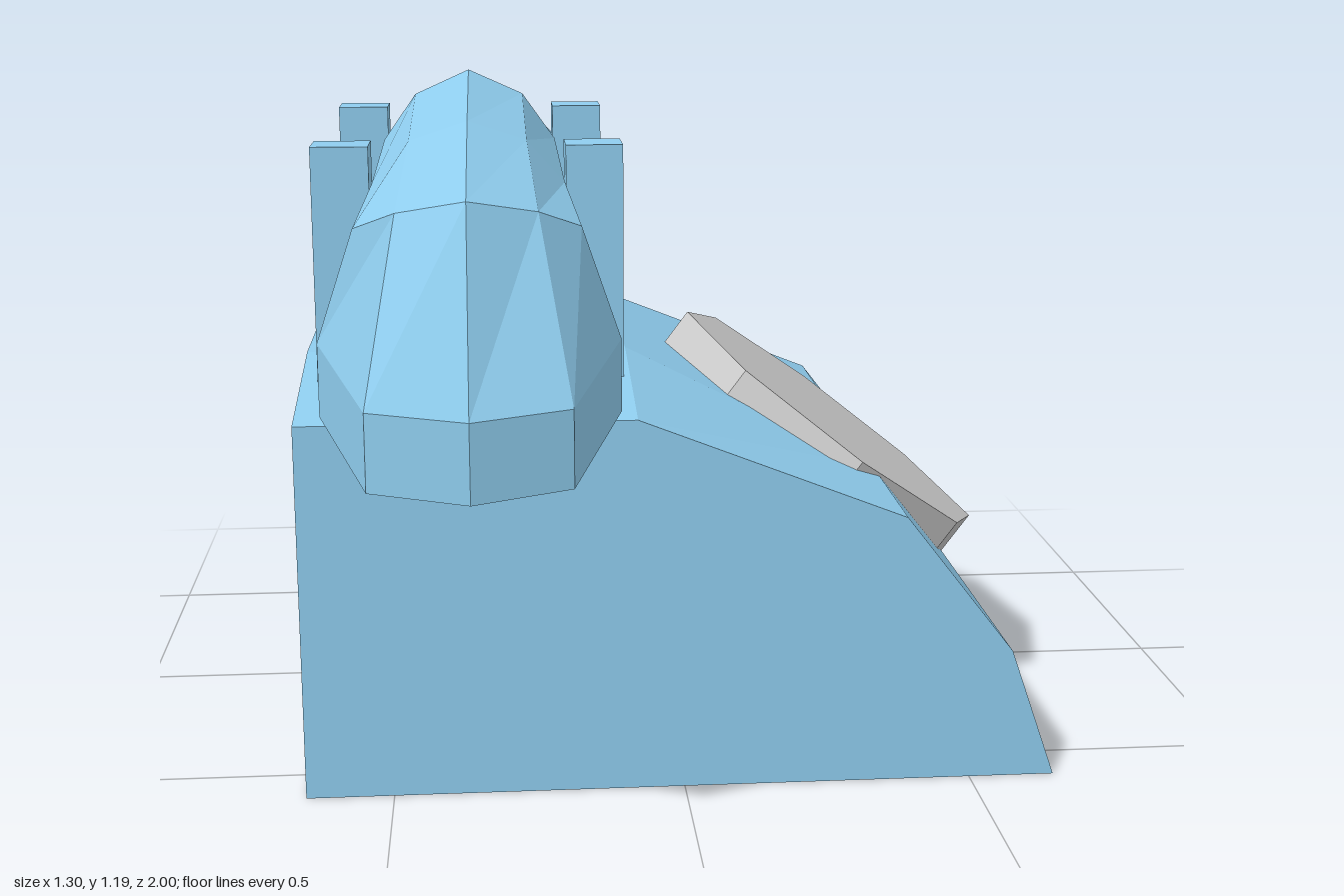
import * as THREE from 'three';

const blue = new THREE.MeshStandardMaterial({ color: 0x8fcdee, flatShading: true });
const grey = new THREE.MeshStandardMaterial({ color: 0xcccccc, flatShading: true });

// Joins equal-sized rings of [x, y, z] points into a closed, capped solid.
// Rings run towards +z and are counter-clockwise as seen from +z.
function loft(rings) {
  const n = rings[0].length;
  const index = [];
  for (let i = 0; i < rings.length - 1; i++) {
    for (let j = 0; j < n; j++) {
      const a = i * n + j, b = i * n + (j + 1) % n;
      index.push(a, b, b + n, a, b + n, a + n);
    }
  }
  const last = (rings.length - 1) * n;
  for (let j = 1; j < n - 1; j++) {
    index.push(0, j + 1, j, last, last + j, last + j + 1);
  }
  const geometry = new THREE.BufferGeometry();
  geometry.setAttribute('position', new THREE.Float32BufferAttribute(rings.flat(2), 3));
  geometry.setIndex(index);
  const flat = geometry.toNonIndexed();
  flat.computeVertexNormals();
  return flat;
}

function addMesh(parent, name, geometry, material, x = 0, y = 0, z = 0) {
  const mesh = new THREE.Mesh(geometry, material);
  mesh.name = name;
  mesh.position.set(x, y, z);
  parent.add(mesh);
  return mesh;
}

export function createModel() {
  const phone = new THREE.Group();
  phone.name = 'telephone';

  // Body: sloping front, top raised between the two inner sections
  const bodyRing = (z, top) => [
    [-0.65, 0], [0.65, 0], [0.57, 0.23], [0.38, 0.475], [-0.08, top], [-0.65, top],
  ].map(([x, y]) => [x, y, z]);
  addMesh(phone, 'body', loft([
    bodyRing(-0.6, 0.655), bodyRing(-0.27, 0.71), bodyRing(0.27, 0.71), bodyRing(0.6, 0.655),
  ]), blue);

  // Cradle block and its four posts
  addMesh(phone, 'cradleBlock', new THREE.BoxGeometry(0.355, 0.25, 0.53), blue, -0.3775, 0.805, 0);
  const post = new THREE.BoxGeometry(0.098, 0.43, 0.096);
  for (const x of [-0.572, -0.14]) {
    for (const z of [-0.362, 0.362]) addMesh(phone, 'cradlePost', post, blue, x, 0.877, z);
  }

  // Octagonal dial lying on the slope
  const dial = addMesh(phone, 'dial', new THREE.CylinderGeometry(0.356, 0.356, 0.093, 8), grey, 0.317, 0.47, 0);
  dial.rotation.z = -0.641;

  // Handset: half rings [half width, y, z] from the top round to the underside
  const middle = [[0, 1.19, 0], [0.1, 1.145, 0], [0.16, 1.06, 0], [0.1, 1.0, 0], [0, 0.972, 0]];
  const sections = [
    // handle
    [[0, 1.135, 0.42], [0.1, 1.1, 0.4], [0.165, 1.025, 0.38], [0.1, 0.972, 0.36], [0, 0.947, 0.34]],
    // top of the cup
    [[0, 1.055, 0.83], [0.11, 1.03, 0.77], [0.18, 0.995, 0.69], [0.11, 0.96, 0.61], [0, 0.93, 0.55]],
    // rim of the cup
    [[0, 0.755, 1], [0.155, 0.76, 0.945], [0.245, 0.803, 0.645], [0.155, 0.81, 0.47], [0, 0.82, 0.42]],
    // face of the cup
    [[0, 0.63, 1], [0.155, 0.637, 0.945], [0.245, 0.682, 0.645], [0.155, 0.708, 0.47], [0, 0.715, 0.42]],
  ];
  const fullRing = (half, side) => [
    ...half.map(([w, y, z]) => [-w, y, z * side]),
    ...half.slice(1, 4).reverse().map(([w, y, z]) => [w, y, z * side]),
  ];
  addMesh(phone, 'handset', loft([
    ...[...sections].reverse().map((s) => fullRing(s, -1)),
    fullRing(middle, 1),
    ...sections.map((s) => fullRing(s, 1)),
  ]), blue, -0.355, 0, 0);

  return phone;
}
